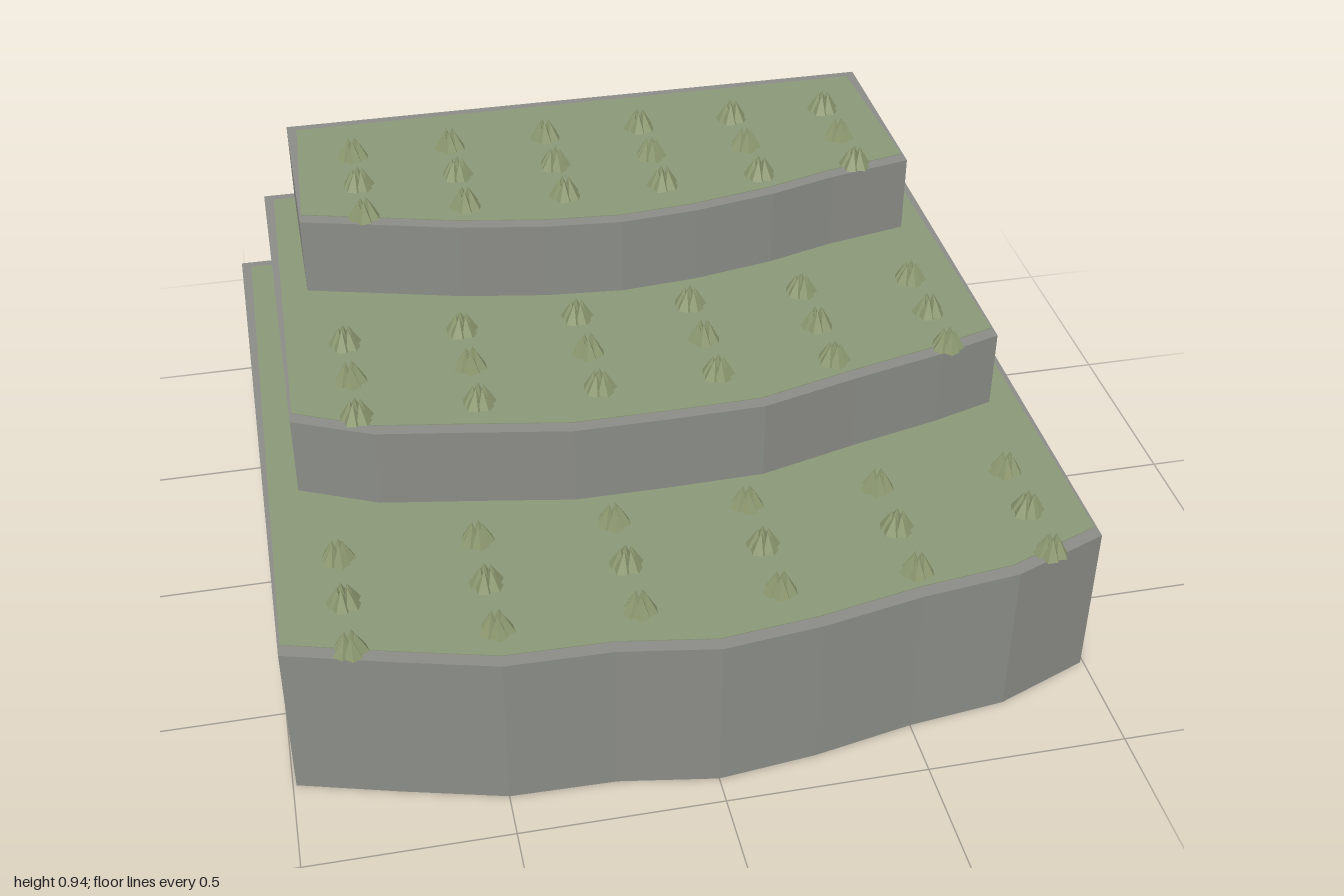
import * as THREE from 'three';
import { mergeGeometries } from 'three/addons/utils/BufferGeometryUtils.js';

const stone = new THREE.MeshStandardMaterial({ name: 'stone grey', color: 0x8a8c86, flatShading: true });
const grass = new THREE.MeshStandardMaterial({ name: 'terrace green', color: 0x8b9777, flatShading: true });
const leaf = new THREE.MeshStandardMaterial({ name: 'leaf green', color: 0x8c9870, flatShading: true });

const BACK = -0.925;

// front: uneven curved front edge as [x, z], from the right end to the left end
const TIERS = [
  {
    name: 'lowerTerrace', y0: 0.012, y1: 0.435, rowX: 0.83, rowZ: [0.475, 0.635, 0.795],
    front: [[-0.992, 0.745], [-0.75, 0.815], [-0.5, 0.882], [-0.24, 0.887], [0, 0.927], [0.245, 0.9],
      [0.5, 0.85], [0.75, 0.82], [0.992, 0.725]],
  },
  {
    name: 'middleTerrace', y0: 0.435, y1: 0.65, rowX: 0.745, rowZ: [-0.095, 0.063, 0.22],
    front: [[-0.905, 0.16], [-0.71, 0.25], [-0.48, 0.29], [-0.235, 0.335], [0, 0.335], [0.245, 0.33],
      [0.5, 0.262], [0.74, 0.205], [0.905, 0.155]],
  },
  {
    name: 'upperTerrace', y0: 0.65, y1: 0.864, rowX: 0.655, rowZ: [-0.665, -0.507, -0.35],
    front: [[-0.82, -0.41], [-0.6, -0.35], [-0.42, -0.3], [-0.2, -0.26], [0, -0.243], [0.2, -0.26],
      [0.42, -0.302], [0.6, -0.355], [0.82, -0.4]],
  },
];

// Upright slab from an [x, z] outline
function slab(outline, y0, y1) {
  const shape = new THREE.Shape(outline.map(([x, z]) => new THREE.Vector2(x, -z)));
  const geo = new THREE.ExtrudeGeometry(shape, { depth: y1 - y0, bevelEnabled: false });
  return geo.rotateX(-Math.PI / 2).translate(0, y0, 0);
}

function addMesh(parent, name, geo, mat) {
  const mesh = new THREE.Mesh(geo, mat);
  mesh.name = name;
  parent.add(mesh);
  return mesh;
}

// Tuft: five pointed leaves in a ring, leaning inwards
function tuftGeometry() {
  const height = 0.052;
  const leaves = [];
  for (let i = 0; i < 5; i++) {
    const cone = new THREE.ConeGeometry(0.022, height, 5);
    cone.translate(0, height / 2, 0);
    const pos = cone.attributes.position;
    for (let v = 0; v < pos.count; v++) {
      pos.setX(v, pos.getX(v) + 0.022 - 0.009 * pos.getY(v) / height);
    }
    leaves.push(cone.rotateY((i / 5) * Math.PI * 2));
  }
  return mergeGeometries(leaves);
}

export function createModel() {
  const model = new THREE.Group();
  model.name = 'terracedGarden';
  const tuft = tuftGeometry();
  let count = 0;

  for (const tier of TIERS) {
    const group = new THREE.Group();
    group.name = tier.name;
    model.add(group);
    const half = tier.front[tier.front.length - 1][0];

    // stone block
    addMesh(group, 'stoneWall', slab([[half, BACK], [-half, BACK], ...tier.front], tier.y0, tier.y1), stone);

    // planted bed, leaving a stone rim along the front, sides and back
    const edge = tier.front.map(([x, z]) => [x * (half - 0.006) / half, z - 0.034]);
    const bed = [[half - 0.026, BACK + 0.027], [-half + 0.026, BACK + 0.027], ...edge];
    addMesh(group, 'plantingBed', slab(bed, tier.y1 - 0.003, tier.y1 + 0.002), grass);

    // three rows of six tufts
    for (const z of tier.rowZ) {
      for (let i = 0; i < 6; i++) {
        const plant = addMesh(group, 'leafTuft', tuft, leaf);
        plant.position.set(tier.rowX * (i * 0.4 - 1), tier.y1 + 0.033, z);
        plant.rotation.y = count++ * 2.4;
      }
    }
  }
  return model;
}
